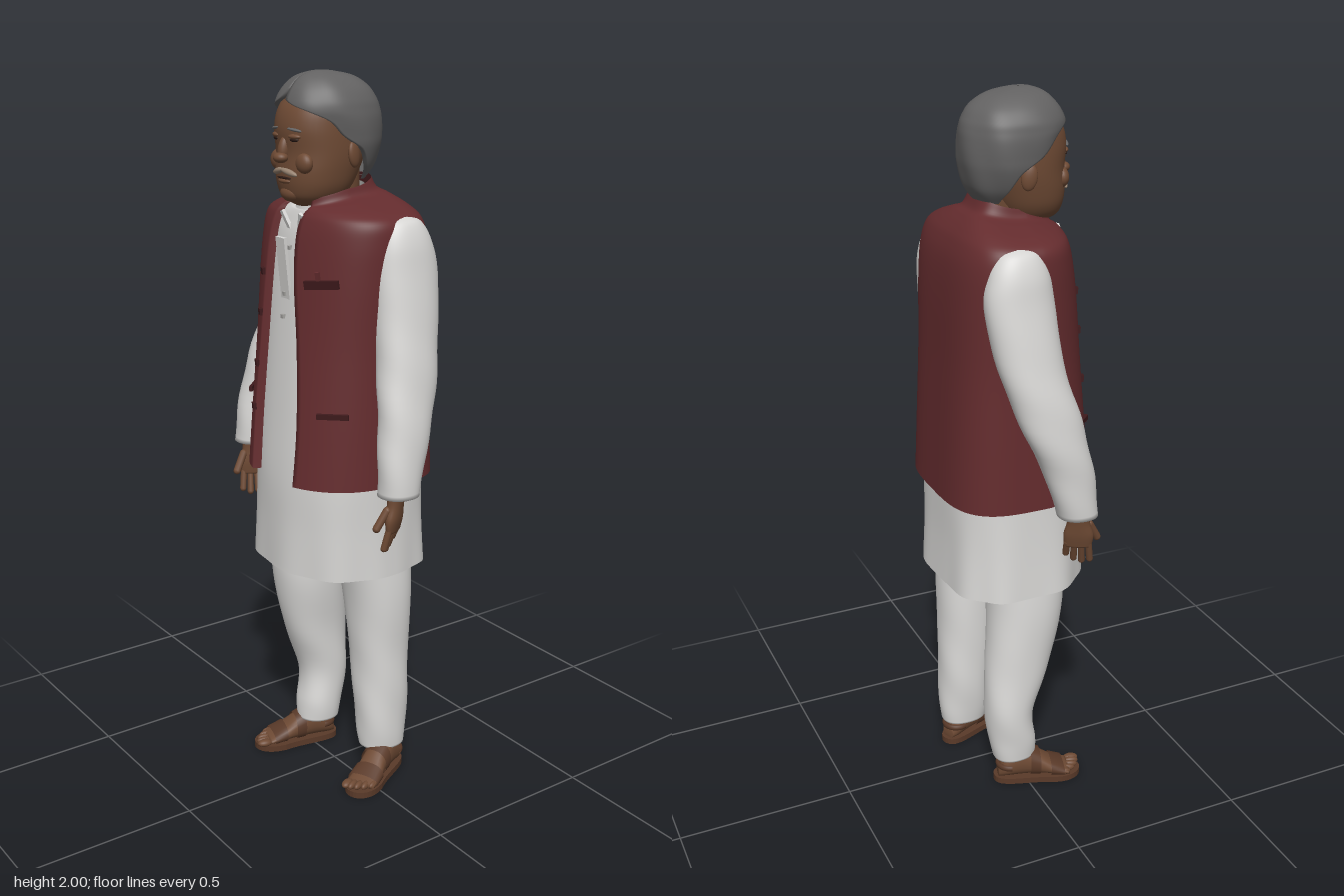
import * as THREE from 'three';

const mat = (name, color) => Object.assign(new THREE.MeshStandardMaterial({ color, side: THREE.DoubleSide }), { name });
const M = {
  vest: mat('maroon cloth', 0x642c2e), trim: mat('dark maroon trim', 0x3e1a1c),
  tunic: mat('tunic white', 0xd6d5d3), trousers: mat('trouser white', 0xdedddb),
  skin: mat('brown skin', 0x6e4a34), hair: mat('grey hair', 0x636262),
  tache: mat('pale moustache', 0x94806e), dark: mat('dark brown', 0x2c1b15),
  sandal: mat('sandal brown', 0x5a3a29), button: mat('button grey', 0xa9a7a4),
};

// Row: [y, centre x, half width, front z, back z, front drop, gap angle +x, gap angle -x]
const lerpRow = (rows, i, f) => {
  const p = k => rows[Math.max(0, Math.min(rows.length - 1, k))];
  return [0, 1, 2, 3, 4, 5, 6, 7].map(c => {
    const [a, b, d, e] = [i - 1, i, i + 1, i + 2].map(k => p(k)[c] ?? 0);
    return b + 0.5 * f * (d - a + f * (2 * a - 5 * b + 4 * d - e + f * (3 * (b - d) + e - a)));
  });
};

// Smooth skin through superellipse rings; an open ring leaves a gap at the front
function loft(rows, { n = [2.2, 2.2], seg = 48, steps = 6, open = false, cap = false, ripple = () => 0 } = {}) {
  const pos = [], idx = [], cols = open ? seg + 3 : seg;
  const total = (rows.length - 1) * steps;
  for (let k = 0; k <= total; k++) {
    const i = Math.min(Math.floor(k / steps), rows.length - 2);
    const [y, cx, rx, zf, zb, drop, g1, g2] = lerpRow(rows, i, k / steps - i);
    const a0 = open ? Math.max(0, g1) : 0, a1 = 2 * Math.PI - (open ? Math.max(0, g2) : 0);
    for (let j = 0; j < cols; j++) {
      const edge = open && (j === 0 || j === cols - 1);
      const u = open ? Math.min(Math.max(j - 1, 0), seg) / seg : j / seg;
      const a = a0 + (a1 - a0) * u, s = Math.sin(a), c = Math.cos(a), e = 2 / (c > 0 ? n[0] : n[1]);
      const r = (edge ? 0.9 : 1) * (1 + ripple(a, y));
      pos.push(cx + rx * r * Math.sign(s) * Math.abs(s) ** e, y - drop * (1 + c) / 2,
        (zf + zb) / 2 + (zf - zb) / 2 * r * Math.sign(c) * Math.abs(c) ** e);
    }
  }
  const quads = open ? cols - 1 : cols;
  for (let k = 0; k < total; k++) for (let j = 0; j < quads; j++) {
    const a = k * cols + j, b = k * cols + (j + 1) % cols;
    idx.push(a, b, b + cols, a, b + cols, a + cols);
  }
  if (cap) for (const [k, row] of [[0, rows[0]], [total, rows[rows.length - 1]]]) {
    const c = pos.length / 3;
    pos.push(row[1], row[0] - (row[5] ?? 0) / 2, (row[3] + row[4]) / 2);
    for (let j = 0; j < cols; j++) {
      const a = k * cols + j, b = k * cols + (j + 1) % cols;
      idx.push(c, k ? a : b, k ? b : a);
    }
  }
  const g = new THREE.BufferGeometry();
  g.setAttribute('position', new THREE.Float32BufferAttribute(pos, 3));
  g.setIndex(idx);
  g.computeVertexNormals();
  return g;
}

// Depth of a lofted front at (x, y)
function frontZ(rows, x, y, n = 2.2) {
  let i = 0;
  while (i < rows.length - 2 && rows[i + 1][0] < y) i++;
  const r = lerpRow(rows, i, (y - rows[i][0]) / (rows[i + 1][0] - rows[i][0]));
  const q = Math.min(1, Math.abs((x - r[1]) / r[2]));
  return (r[3] + r[4]) / 2 + (r[3] - r[4]) / 2 * (1 - q ** n) ** (1 / n);
}

function add(parent, name, geo, material, p = [0, 0, 0], rot = [0, 0, 0], s = [1, 1, 1]) {
  const m = new THREE.Mesh(geo, material);
  m.name = name;
  m.position.set(...p); m.rotation.set(...rot); m.scale.set(...s);
  parent.add(m);
  return m;
}
const ball = new THREE.SphereGeometry(1, 24, 16);

// Thin plate lying on a lofted front
function plate(parent, name, rows, x, y, w, h, material, roll = 0) {
  const z = frontZ(rows, x, y), d = 0.01;
  const sx = (frontZ(rows, x + d, y) - frontZ(rows, x - d, y)) / (2 * d);
  const sy = (frontZ(rows, x, y + d) - frontZ(rows, x, y - d)) / (2 * d);
  add(parent, name, new THREE.BoxGeometry(w, h, 0.009), material, [x, y, z + 0.004], [-Math.atan(sy), -Math.atan(sx), roll]);
}

const gapAngle = (x, rx) => Math.asin(Math.min(1, x / rx) ** 1.1);
const VEST = [ // y, half width, front, back, drop, opening +x, opening -x
  [0.935, 0.25, 0.222, -0.22, 0, 0.1, 0.09], [1.1, 0.245, 0.207, -0.212, 0, 0.1, 0.095],
  [1.3, 0.24, 0.187, -0.202, 0, 0.082, 0.09], [1.48, 0.245, 0.168, -0.195, 0, 0.052, 0.085],
  [1.58, 0.247, 0.152, -0.185, 0, 0.04, 0.085], [1.635, 0.238, 0.138, -0.168, 0.005, 0.04, 0.08],
  [1.665, 0.2, 0.128, -0.148, 0.015, 0.045, 0.075], [1.69, 0.14, 0.122, -0.122, 0.03, 0.05, 0.07],
  [1.705, 0.1, 0.12, -0.1, 0.04, 0.05, 0.065], [1.735, 0.088, 0.122, -0.085, 0.055, 0.052, 0.062],
].map(([y, rx, f, b, d, r, l]) => [y, 0, rx, f, b, d, gapAngle(r, rx), gapAngle(l, rx)]);
const TUNIC = [
  [0.67, -0.008, 0.243, 0.2, -0.215], [0.8, -0.004, 0.236, 0.198, -0.207], [0.94, 0, 0.232, 0.197, -0.203],
  [1.1, 0, 0.228, 0.185, -0.196], [1.3, 0, 0.224, 0.167, -0.186], [1.48, 0, 0.226, 0.148, -0.178],
  [1.58, 0, 0.224, 0.132, -0.165], [1.63, 0, 0.2, 0.118, -0.148, 0.005], [1.67, 0, 0.12, 0.108, -0.11, 0.02],
  [1.69, 0, 0.082, 0.104, -0.08, 0.04], [1.715, 0, 0.078, 0.1, -0.07, 0.05],
];
const FACE = [
  [1.66, -0.01, 0.045, 0.105, 0], [1.68, -0.01, 0.075, 0.138, -0.02], [1.71, -0.01, 0.094, 0.15, -0.04],
  [1.75, -0.01, 0.104, 0.154, -0.06], [1.8, -0.01, 0.11, 0.151, -0.08], [1.86, -0.01, 0.11, 0.156, -0.09],
  [1.91, -0.01, 0.104, 0.143, -0.09], [1.95, -0.01, 0.08, 0.11, -0.07],
];

function buildClothes(g) {
  add(g, 'tunic', loft(TUNIC, { n: [2.2, 3], seg: 96, ripple: (a, y) => 0.018 * Math.max(0, (0.95 - y) / 0.3) * Math.sin(9 * a) }), M.tunic);
  plate(g, 'tunicPlacket', TUNIC, -0.004, 1.46, 0.04, 0.25, M.tunic);
  for (let i = 0; i < 4; i++) plate(g, 'tunicButton', TUNIC, -0.004, 1.375 + i * 0.06, 0.011, 0.011, M.button);
  for (const s of [-1, 1]) plate(g, 'tunicCollar', TUNIC, s * 0.03 - 0.004, 1.615, 0.014, 0.07, M.tunic, -s * 0.45);

  add(g, 'vest', loft(VEST, { n: [2.2, 3.4], seg: 96, open: true }), M.vest);
  for (const y of [1.48, 1.37, 1.23, 1.11]) plate(g, 'vestButton', VEST, -0.074 - 0.03, y, 0.018, 0.018, M.trim);
  plate(g, 'chestPocket', VEST, 0.145, 1.48, 0.1, 0.022, M.trim, 0.05);
  plate(g, 'pocketPen', VEST, 0.135, 1.49, 0.01, 0.045, M.vest);
  for (const s of [-1, 1]) plate(g, 'sidePocket', VEST, s * 0.19, 1.14, 0.085, 0.014, M.trim, -s * 0.06);

  // Sleeves, the right one bent further forward
  const cloth = (a, y) => 0.025 * Math.sin(38 * y + 2 * a) * Math.min(1, Math.max(0, (1.5 - y) * 3));
  add(g, 'leftSleeve', loft([
    [0.935, 0.31, 0.05, 0.07, -0.04], [1.05, 0.302, 0.054, 0.065, -0.07], [1.2, 0.278, 0.059, 0.05, -0.115],
    [1.35, 0.246, 0.066, 0.036, -0.142], [1.5, 0.224, 0.063, 0.03, -0.157], [1.58, 0.218, 0.055, 0.018, -0.142],
    [1.63, 0.212, 0.04, -0.005, -0.115], [1.645, 0.21, 0.015, -0.04, -0.08],
  ], { cap: true, ripple: cloth }), M.tunic);
  add(g, 'rightSleeve', loft([
    [0.935, -0.31, 0.05, 0.125, 0.015], [1.05, -0.308, 0.054, 0.112, -0.02], [1.2, -0.294, 0.06, 0.08, -0.085],
    [1.35, -0.258, 0.066, 0.042, -0.132], [1.5, -0.228, 0.063, 0.03, -0.155], [1.58, -0.22, 0.055, 0.018, -0.142],
    [1.63, -0.212, 0.04, -0.005, -0.115], [1.645, -0.21, 0.015, -0.04, -0.08],
  ], { cap: true, ripple: cloth }), M.tunic);

  // Trouser legs, the right one a little ahead
  const folds = (a, y) => 0.022 * Math.sin(30 * y + 3 * a) * Math.min(1, Math.max(0, (0.6 - y) * 2));
  add(g, 'leftTrouserLeg', loft([
    [0.085, 0.117, 0.056, -0.02, -0.155], [0.14, 0.115, 0.064, -0.012, -0.16], [0.25, 0.112, 0.075, -0.005, -0.162],
    [0.4, 0.11, 0.084, 0.005, -0.16], [0.6, 0.112, 0.1, 0.03, -0.16], [0.85, 0.11, 0.1, 0.09, -0.15],
  ], { cap: true, ripple: folds }), M.trousers);
  add(g, 'rightTrouserLeg', loft([
    [0.085, -0.124, 0.056, 0.035, -0.09], [0.14, -0.125, 0.063, 0.036, -0.1], [0.25, -0.127, 0.07, 0.027, -0.115],
    [0.4, -0.124, 0.079, 0.078, -0.11], [0.6, -0.116, 0.1, 0.117, -0.1], [0.85, -0.11, 0.1, 0.12, -0.12],
  ], { cap: true, ripple: folds }), M.trousers);
}

function buildHead(g) {
  add(g, 'neck', loft([[1.58, 0, 0.075, 0.09, -0.07], [1.66, -0.004, 0.07, 0.1, -0.068], [1.78, -0.01, 0.072, 0.07, -0.07]]), M.skin);
  add(g, 'face', loft(FACE, { cap: true }), M.skin);
  add(g, 'nose', ball, M.skin, [-0.008, 1.808, 0.151], [-0.2, 0, 0], [0.015, 0.034, 0.017]);
  add(g, 'noseTip', ball, M.skin, [-0.008, 1.787, 0.162], [0, 0, 0], [0.022, 0.014, 0.019]);
  add(g, 'chin', ball, M.skin, [-0.01, 1.695, 0.125], [0, 0, 0], [0.04, 0.024, 0.028]);
  add(g, 'mouth', ball, M.dark, [-0.009, 1.735, 0.151], [0, 0, 0], [0.03, 0.004, 0.006]);
  add(g, 'lowerLip', ball, M.skin, [-0.009, 1.727, 0.149], [0, 0, 0], [0.026, 0.007, 0.011]);
  for (const s of [-1, 1]) {
    const at = (x, y, lift) => [x * s - 0.009, y, frontZ(FACE, x * s - 0.009, y) + lift];
    add(g, 'eye', ball, M.dark, at(0.041, 1.833, -0.001), [0, s * 0.3, 0], [0.014, 0.005, 0.005]);
    add(g, 'eyelid', ball, M.skin, at(0.041, 1.841, -0.003), [0, s * 0.3, 0], [0.02, 0.007, 0.009]);
    add(g, 'eyebrow', ball, M.hair, at(0.043, 1.858, -0.001), [0, s * 0.3, -s * 0.12], [0.024, 0.004, 0.006]);
    add(g, 'cheek', ball, M.skin, at(0.056, 1.775, -0.012), [0, 0, 0], [0.03, 0.028, 0.02]);
    add(g, 'moustache', ball, M.tache, at(0.024, 1.751, 0.001), [0, s * 0.2, -s * 0.22], [0.03, 0.008, 0.008]);
    add(g, 'ear', ball, M.skin, [-0.01 + s * 0.114, 1.795, 0.012], [0.15, s * 0.35, 0], [0.011, 0.034, 0.021]);
  }
  add(g, 'hair', loft([
    [1.725, -0.01, 0.078, 0.07, -0.088, 0, 2.1, 2.1], [1.76, -0.01, 0.104, 0.1, -0.11, 0, 1.85, 1.85],
    [1.81, -0.01, 0.122, 0.12, -0.122, 0, 1.6, 1.6], [1.845, -0.01, 0.126, 0.128, -0.125, 0, 1.22, 1.22],
    [1.88, -0.01, 0.127, 0.14, -0.124, 0, 1, 1], [1.905, -0.01, 0.124, 0.15, -0.121, 0, 0.6, 0.75],
    [1.93, -0.01, 0.117, 0.146, -0.113, 0, 0, 0.2], [1.96, -0.008, 0.097, 0.13, -0.092],
    [1.985, -0.005, 0.065, 0.105, -0.05], [1.998, 0, 0.025, 0.07, 0.01], [2, 0, 0.002, 0.045, 0.035],
  ], { seg: 72, open: true, ripple: (a, y) => 0.014 * Math.sin(7 * a + 22 * y) }), M.hair);
}

// Hand hanging from the cuff, thumb forward
function buildHand(g, s, x, z, turn) {
  const h = new THREE.Group();
  h.name = s > 0 ? 'leftHand' : 'rightHand';
  h.position.set(x, 0.93, z);
  h.rotation.set(0, s * turn, -s * 0.08);
  add(h, 'palm', loft([[-0.095, 0, 0.012, 0.036, -0.036], [-0.06, 0, 0.018, 0.041, -0.039], [-0.02, 0, 0.02, 0.031, -0.03],
    [0.03, 0, 0.023, 0.029, -0.028]], { seg: 24, cap: true }), M.skin);
  [0.055, 0.064, 0.06, 0.045].forEach((len, i) => {
    const f = new THREE.CapsuleGeometry(0.0095, len, 4, 10).translate(0, -len / 2, 0);
    add(h, 'finger', f, M.skin, [0, -0.085, 0.028 - i * 0.019], [0.05 * (i - 1.5), 0, -s * (0.15 + i * 0.06)]);
  });
  add(h, 'thumb', new THREE.CapsuleGeometry(0.011, 0.055, 4, 10).translate(0, -0.03, 0), M.skin, [-s * 0.01, -0.03, 0.028], [-0.4, 0, -s * 0.3]);
  g.add(h);
}

// Foot with sandal; the loft runs heel to toe
function buildFoot(g, s, x, z, turn) {
  const f = new THREE.Group();
  f.name = s > 0 ? 'leftFoot' : 'rightFoot';
  f.position.set(x, 0, z);
  f.rotation.y = turn;
  const along = (rows, o) => loft(rows, o).rotateX(Math.PI / 2);
  add(f, 'foot', along([[-0.115, 0, 0.02, -0.015, -0.045], [-0.095, 0, 0.034, -0.015, -0.085], [-0.05, 0, 0.037, -0.015, -0.115],
    [0, 0, 0.037, -0.015, -0.09], [0.05, s * 0.003, 0.042, -0.015, -0.055], [0.095, s * 0.003, 0.043, -0.015, -0.034]],
    { seg: 24, cap: true }), M.skin);
  for (let i = 0; i < 5; i++)
    add(f, 'toe', ball, M.skin, [s * (-0.03 + i * 0.0165), 0.026, 0.112 - i * i * 0.0022], [0, 0, 0], [i ? 0.0095 : 0.014, 0.011, 0.022]);
  const sole = new THREE.Shape();
  sole.moveTo(0, -0.127);
  sole.bezierCurveTo(0.055, -0.127, 0.03, -0.03, 0.05, 0.05);
  sole.bezierCurveTo(0.06, 0.16, -0.06, 0.16, -0.05, 0.05);
  sole.bezierCurveTo(-0.03, -0.03, -0.055, -0.127, 0, -0.127);
  const plank = new THREE.ExtrudeGeometry(sole, { depth: 0.018, bevelEnabled: false, curveSegments: 16 });
  add(f, 'sole', plank.rotateX(Math.PI / 2).translate(0, 0.018, 0), M.sandal);
  add(f, 'toeStrap', along([[0.04, s * 0.003, 0.046, -0.012, -0.066], [0.08, s * 0.003, 0.048, -0.012, -0.046]], { seg: 24 }), M.sandal);
  add(f, 'instepStrap', along([[-0.02, 0, 0.041, -0.012, -0.105], [0.01, 0, 0.042, -0.012, -0.09]], { seg: 24 }), M.sandal);
  add(f, 'heelStrap', new THREE.TorusGeometry(0.037, 0.006, 8, 24, Math.PI).rotateX(-Math.PI / 2), M.sandal, [0, 0.055, -0.078], [0, Math.PI, 0], [1, 1.6, -1]);
  g.add(f);
}

export function createModel() {
  const g = new THREE.Group();
  g.name = 'standingMan';
  buildClothes(g);
  buildHead(g);
  buildHand(g, 1, 0.308, 0.02, 0.5);
  buildHand(g, -1, -0.308, 0.075, 0.5);
  buildFoot(g, 1, 0.158, -0.035, 0.42);
  buildFoot(g, -1, -0.15, 0.035, -0.26);
  return g;
}
